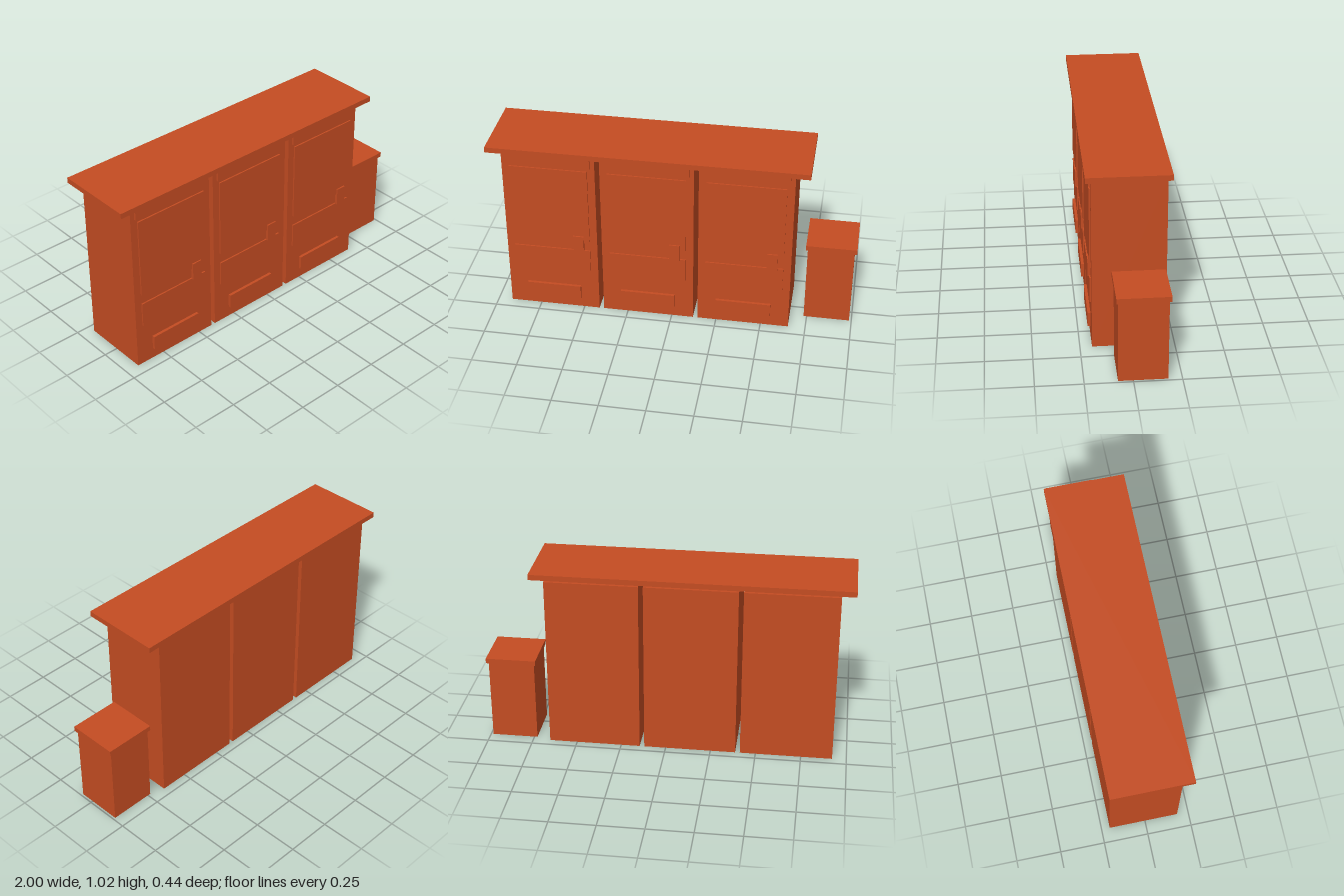
import * as THREE from 'three';

const rust = new THREE.MeshStandardMaterial({ color: 0xc44c22 });
rust.name = 'rust orange';

// Box given by its minimum and maximum on each axis
function box(parent, name, [x0, x1], [y0, y1], [z0, z1]) {
  const mesh = new THREE.Mesh(new THREE.BoxGeometry(x1 - x0, y1 - y0, z1 - z0), rust);
  mesh.position.set((x0 + x1) / 2, (y0 + y1) / 2, (z0 + z1) / 2);
  mesh.name = name;
  parent.add(mesh);
}

// One vending machine, centred on x = 0
function createMachine() {
  const machine = new THREE.Group();
  machine.name = 'vendingMachine';
  box(machine, 'cabinet', [-0.254, 0.254], [0, 0.972], [-0.203, 0.186]);
  box(machine, 'headerSign', [-0.229, 0.229], [0.921, 0.98], [0.184, 0.198]);
  box(machine, 'displayWindow', [-0.213, 0.213], [0.45, 0.9], [0.184, 0.194]);
  box(machine, 'lowerPanel', [-0.213, 0.213], [0.248, 0.39], [0.184, 0.194]);
  box(machine, 'coinPanel', [0.123, 0.181], [0.385, 0.485], [0.186, 0.202]);
  box(machine, 'dispenserTray', [-0.152, 0.152], [0.063, 0.145], [0.186, 0.202]);
  return machine;
}

export function createModel() {
  const model = new THREE.Group();
  model.name = 'vendingStation';

  // Row of three machines
  for (let i = 0; i < 3; i++) {
    const machine = createMachine();
    machine.position.x = -0.668 + i * 0.534;
    model.add(machine);
  }

  // Flat canopy floating just above the cabinets
  box(model, 'canopy', [-1, 0.733], [0.987, 1.017], [-0.219, 0.219]);

  // Waste bin beside the row
  const bin = new THREE.Group();
  bin.name = 'wasteBin';
  box(bin, 'binBody', [0.733, 0.987], [0, 0.459], [-0.178, 0.078]);
  box(bin, 'binLid', [0.723, 1], [0.457, 0.485], [-0.189, 0.088]);
  model.add(bin);

  return model;
}
